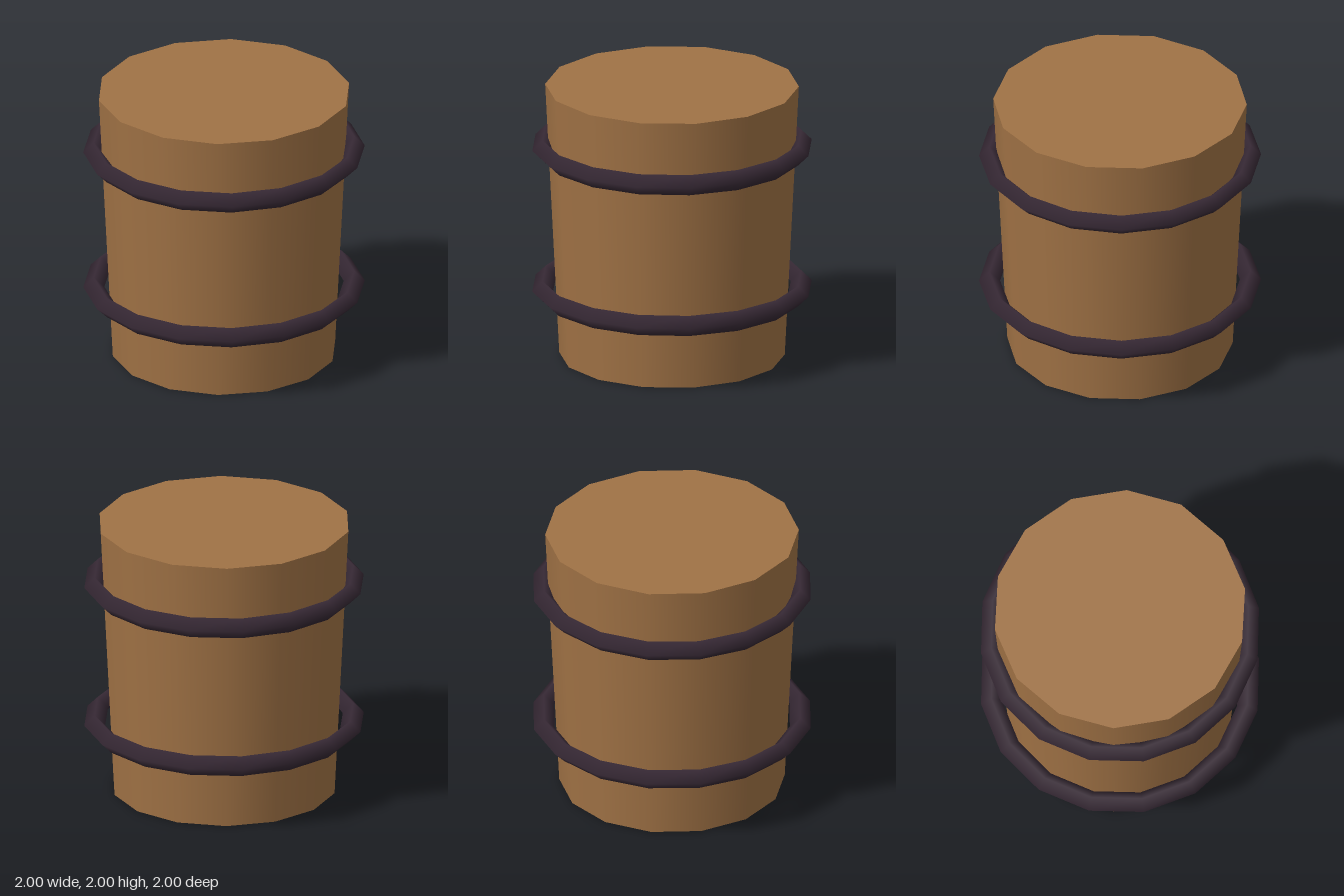
import * as THREE from 'three';

export function createModel() {
  const model = new THREE.Group();
  model.name = 'barrel';

  const wood = new THREE.MeshStandardMaterial({ color: 0xa07245 });
  wood.name = 'wood';
  const iron = new THREE.MeshStandardMaterial({ color: 0x372935 });
  iron.name = 'dark iron';

  // Tapered body, wider at the top, closed at both ends
  const body = new THREE.Mesh(new THREE.CylinderGeometry(0.9, 0.8, 2, 14), wood);
  body.name = 'body';
  body.position.y = 1;
  model.add(body);

  // Two equal hoops with a diamond section
  const hoopGeometry = new THREE.TorusGeometry(0.925, 0.075, 4, 16).rotateX(-Math.PI / 2);
  for (const [name, y] of [['lowerHoop', 0.503], ['upperHoop', 1.553]]) {
    const hoop = new THREE.Mesh(hoopGeometry, iron);
    hoop.name = name;
    hoop.position.y = y;
    model.add(hoop);
  }

  return model;
}
